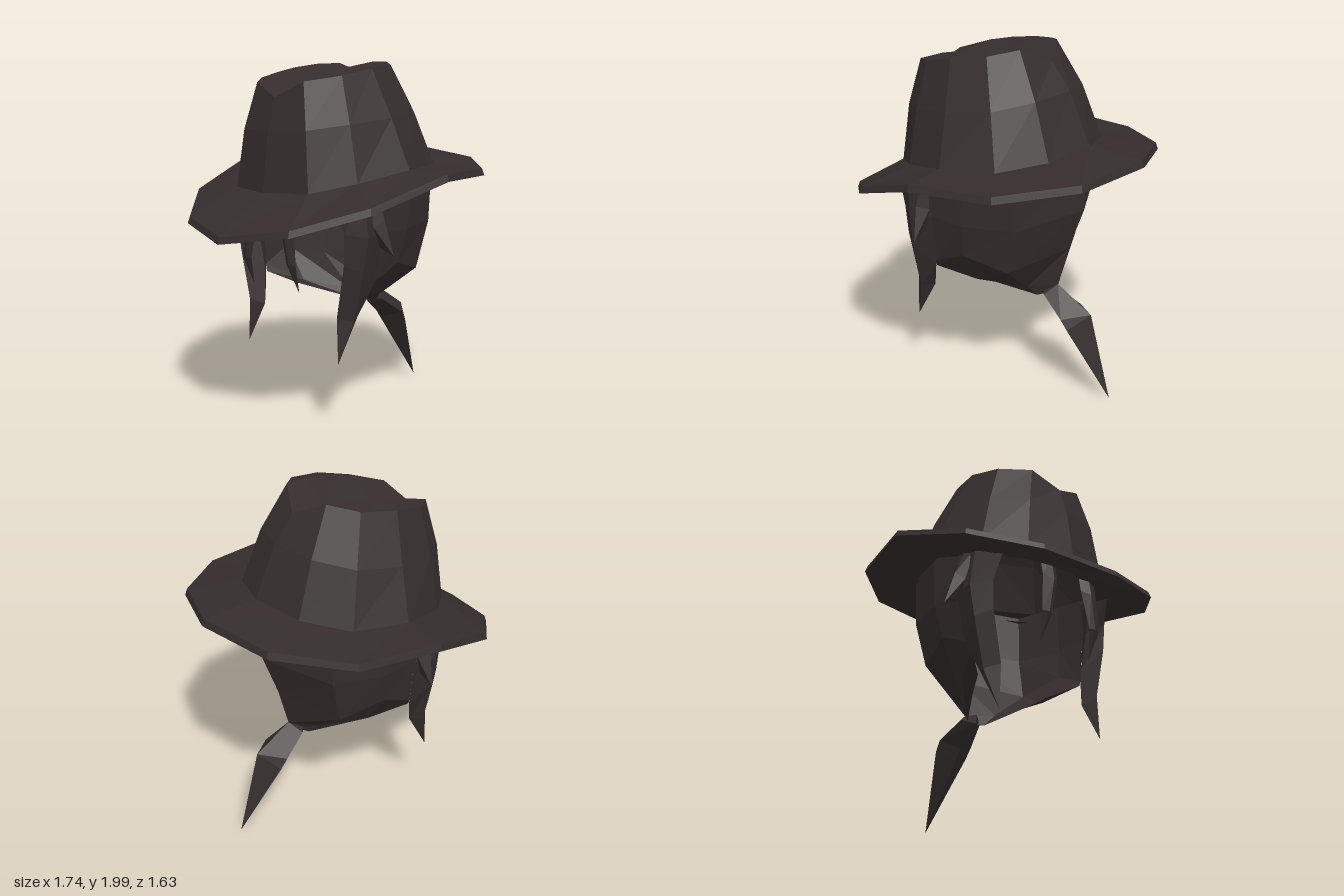
import * as THREE from 'three';

const darkBrown = new THREE.MeshStandardMaterial({ color: 0x352d2d, side: THREE.DoubleSide, flatShading: true });
darkBrown.name = 'darkBrown';

// Skin a list of cross-sections, each a list of [x, y, z] points
function loft(name, rings, closed = true) {
  const pos = [];
  const n = rings[0].length;
  for (let r = 0; r < rings.length - 1; r++) {
    for (let i = 0; i < (closed ? n : n - 1); i++) {
      const j = (i + 1) % n;
      const a = rings[r][i], b = rings[r][j], c = rings[r + 1][j], d = rings[r + 1][i];
      pos.push(...a, ...b, ...c, ...a, ...c, ...d);
    }
  }
  const g = new THREE.BufferGeometry();
  g.setAttribute('position', new THREE.Float32BufferAttribute(pos, 3));
  g.computeVertexNormals();
  const mesh = new THREE.Mesh(g, darkBrown);
  mesh.name = name;
  return mesh;
}

const flip = ([x, y, z]) => [x, y, -z];
// Half outline from the brow (z = 0) round the +z side to the nape, completed by mirroring
const fullRing = half => [...half, ...half.slice(1, -1).reverse().map(flip)];
// Open outline from the +z side round the nape to the -z side
const backRing = half => [...half, ...half.slice(0, -1).reverse().map(flip)];

export function createModel() {
  const model = new THREE.Group();

  // Brim
  const crownBase = [[-0.56, 1.3, 0], [-0.5, 1.31, 0.28], [-0.31, 1.36, 0.45], [-0.02, 1.42, 0.555],
    [0.28, 1.435, 0.485], [0.47, 1.47, 0.28], [0.55, 1.5, 0]];
  const brimEdge = [[-0.87, 1.06, 0], [-0.755, 1.12, 0.4], [-0.47, 1.23, 0.685], [-0.02, 1.375, 0.813],
    [0.425, 1.375, 0.725], [0.75, 1.41, 0.42], [0.87, 1.445, 0]];
  const brimTop = brimEdge.map(([x, y, z]) => [x * 0.985, y + 0.037, z * 0.985]);
  const brimUnder = crownBase.map(([x, y, z]) => [x * 0.95, y - 0.075, z * 0.95]);
  model.add(loft('brim', [brimUnder, brimEdge, brimTop, crownBase].map(fullRing)));

  // Crown with a pinched crease along the top
  const crownMiddle = [[-0.52, 1.62, 0], [-0.475, 1.63, 0.24], [-0.3, 1.66, 0.385], [-0.05, 1.69, 0.455],
    [0.2, 1.72, 0.405], [0.36, 1.76, 0.24], [0.42, 1.78, 0]];
  const crownTop = [[-0.47, 1.8, 0], [-0.43, 1.88, 0.18], [-0.28, 1.91, 0.31], [-0.09, 1.95, 0.35],
    [0.11, 1.975, 0.31], [0.225, 2.0, 0.18], [0.31, 1.92, 0]];
  const ridge = [[-0.47, 1.8, 0], [-0.43, 1.88, 0.18], [-0.24, 1.94, 0.22], [-0.09, 1.97, 0.235],
    [0.08, 1.995, 0.21], [0.225, 2.0, 0.18], [0.31, 1.92, 0]];
  const crease = ridge.map(([x]) => [x, 1.8 + 0.12 * (x + 0.47) / 0.78, 0]);
  model.add(loft('crown', [crownBase, crownMiddle, crownTop, ridge, crease].map(fullRing)));

  // Hair round the sides and back of the head
  model.add(loft('backHair', [
    [[-0.06, 0.7, 0.26], [0.07, 0.65, 0.19], [0.28, 0.57, 0.06], [0.33, 0.58, 0]],
    [[-0.18, 0.77, 0.4], [0.03, 0.7, 0.3], [0.25, 0.64, 0.12], [0.38, 0.64, 0]],
    [[-0.17, 0.81, 0.42], [0.03, 0.9, 0.44], [0.28, 0.83, 0.37], [0.44, 0.88, 0]],
    [[-0.15, 1.1, 0.47], [0.06, 1.09, 0.48], [0.35, 1.1, 0.4], [0.53, 1.13, 0]],
    [[-0.2, 1.36, 0.48], [0.08, 1.41, 0.49], [0.36, 1.41, 0.41], [0.54, 1.43, 0]],
  ].map(backRing), false));

  // Four-cornered lock: each section is [outer/inner/front/rear corner]
  const tip = p => [p, p, p, p];
  for (const side of [1, -1]) {
    const place = rings => (side > 0 ? rings : rings.map(r => r.map(flip).reverse()));
    const label = side > 0 ? 'left' : 'right';

    // Long lock in front of the ear
    model.add(loft(label + 'SideLock', place([
      tip([-0.36, 0.39, 0.36]),
      [[-0.36, 0.64, 0.35], [-0.29, 0.62, 0.41], [-0.22, 0.63, 0.37], [-0.28, 0.6, 0.31]],
      [[-0.37, 0.93, 0.41], [-0.29, 0.9, 0.475], [-0.16, 0.8, 0.43], [-0.25, 0.82, 0.34]],
      [[-0.38, 1.1, 0.42], [-0.28, 1.08, 0.5], [-0.14, 1.1, 0.48], [-0.25, 1.08, 0.4]],
      [[-0.43, 1.24, 0.4], [-0.3, 1.32, 0.48], [-0.14, 1.34, 0.48], [-0.27, 1.28, 0.4]],
    ])));

    // Pointed tuft flicking outward over the ear
    model.add(loft(label + 'EarTuft', place([
      tip([-0.18, 0.98, 0.59]),
      [[-0.24, 1.13, 0.5], [-0.2, 1.17, 0.54], [-0.14, 1.15, 0.5], [-0.18, 1.02, 0.49]],
      [[-0.27, 1.32, 0.46], [-0.22, 1.34, 0.48], [-0.16, 1.34, 0.48], [-0.2, 1.3, 0.45]],
    ])));

    // Thin lock hanging from the brow
    model.add(loft(label + 'BrowLock', place([
      tip([-0.47, 0.77, 0.18]),
      [[-0.54, 0.93, 0.17], [-0.525, 0.93, 0.21], [-0.51, 0.93, 0.18], [-0.525, 0.93, 0.14]],
      [[-0.55, 1.13, 0.14], [-0.525, 1.15, 0.2], [-0.5, 1.15, 0.16], [-0.52, 1.15, 0.09]],
      [[-0.53, 1.27, 0.14], [-0.5, 1.29, 0.2], [-0.47, 1.29, 0.16], [-0.5, 1.28, 0.09]],
    ])));
  }

  // Ponytail at the nape
  model.add(loft('ponytail', [
    tip([0.74, 0.01, 0]),
    [[0.44, 0.42, 0], [0.51, 0.43, 0.11], [0.6, 0.51, 0], [0.51, 0.43, -0.11]],
    [[0.42, 0.45, 0], [0.47, 0.49, 0.115], [0.6, 0.51, 0], [0.47, 0.49, -0.115]],
    [[0.28, 0.57, 0], [0.33, 0.59, 0.07], [0.38, 0.645, 0], [0.33, 0.59, -0.07]],
    tip([0.27, 0.62, 0]),
  ]));

  return model;
}
